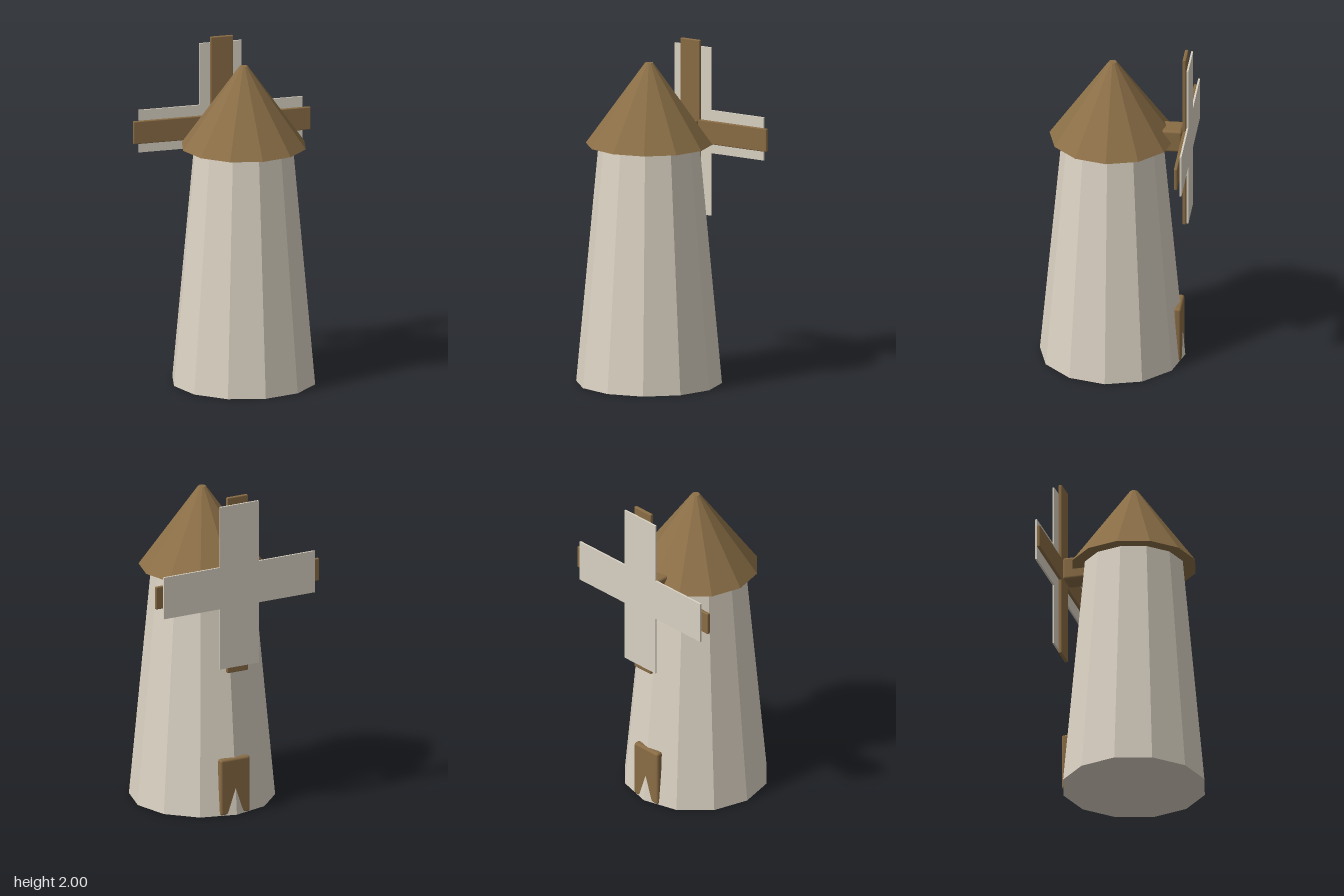
import * as THREE from 'three';
import { RoundedBoxGeometry } from 'three/addons/geometries/RoundedBoxGeometry.js';

const CENTRE_Z = 0.014; // axis of tower and roof
const AXLE_Y = 1.45;

export function createModel() {
  const model = new THREE.Group();
  model.name = 'windmill';

  const paint = (name, color, flatShading = false) => {
    const m = new THREE.MeshStandardMaterial({ color, flatShading });
    m.name = name;
    return m;
  };
  const plaster = paint('plaster', 0xdcd3c4, true);
  const shingle = paint('roof brown', 0x8b6f47, true);
  const wood = paint('wood brown', 0x896c45);
  const canvas = paint('sail canvas', 0xd9d2c3);

  const add = (name, geometry, material, x, y, z, parent = model) => {
    const mesh = new THREE.Mesh(geometry, material);
    mesh.name = name;
    mesh.position.set(x, y, z);
    parent.add(mesh);
    return mesh;
  };
  const roundedBox = (w, h, d, r) => new RoundedBoxGeometry(w, h, d, 2, r);

  // Twelve-sided tapering tower and conical roof
  add('tower', new THREE.CylinderGeometry(0.3, 0.433, 1.44, 12), plaster, 0, 0.72, CENTRE_Z);
  add('roof', new THREE.CylinderGeometry(0.024, 0.376, 0.49, 12), shingle, 0, 1.685, CENTRE_Z);

  // Door at the back, with the tower's corner edge just breaking through its foot
  add('door', roundedBox(0.2, 0.35, 0.045, 0.015), wood, 0, 0.175, -0.3815);

  // Axle block under the eaves
  add('axleBlock', roundedBox(0.14, 0.14, 0.2, 0.015), wood, 0, AXLE_Y, -0.306);

  // Rotor: crossed wooden arms with a cross-shaped canvas sail behind
  const rotor = new THREE.Group();
  rotor.name = 'rotor';
  rotor.position.set(0, AXLE_Y, 0);
  model.add(rotor);
  add('horizontalArm', roundedBox(1.1, 0.14, 0.021, 0.006), wood, 0, 0, -0.42, rotor);
  add('verticalArm', roundedBox(0.14, 1.1, 0.021, 0.006), wood, 0, 0, -0.42, rotor);

  const a = 0.13, b = 0.508;
  const cross = new THREE.Shape([
    [a, a], [a, b], [-a, b], [-a, a], [-b, a], [-b, -a],
    [-a, -a], [-a, -b], [a, -b], [a, -a], [b, -a], [b, a],
  ].map(([x, y]) => new THREE.Vector2(x, y)));
  add('sails', new THREE.ExtrudeGeometry(cross, { depth: 0.011, bevelEnabled: false }),
    canvas, 0, 0, -0.451, rotor);

  return model;
}
